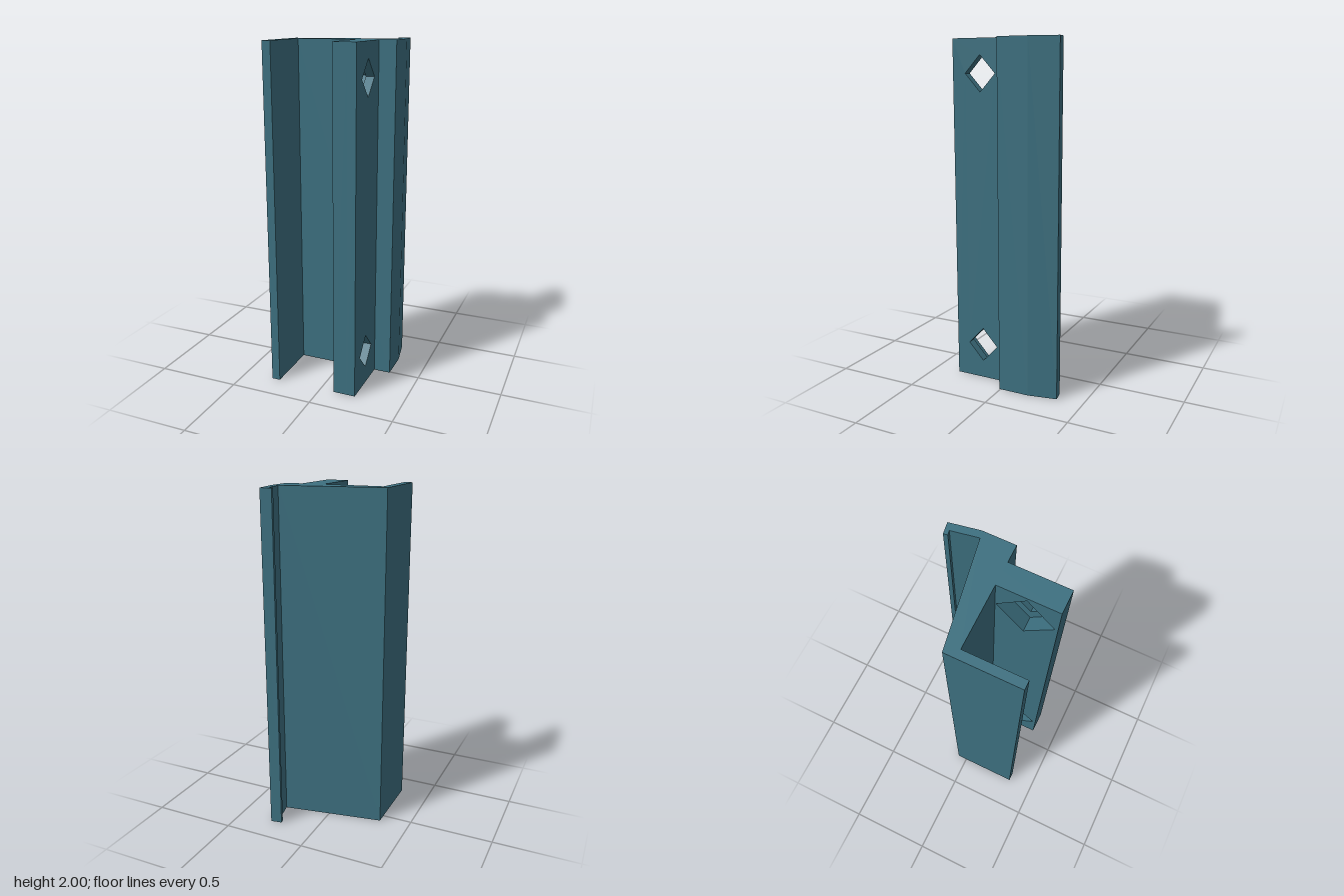
import * as THREE from 'three';

const teal = new THREE.MeshStandardMaterial({ color: 0x3d7080 });
teal.name = 'teal';

const HEIGHT = 2;

// Constant cross-section given as [x, z], swept up the full height
const PROFILE = [
  [-0.32, -0.06], [0.277, -0.165], [0.25, -0.315], [0.225, -0.31],
  [0.221, -0.334], [0.287, -0.344], [0.318, -0.175], [0.318, 0.008],
  [-0.27, 0.008], [-0.27, 0.344], [-0.32, 0.344],
];

function addMesh(group, name, geometry) {
  const mesh = new THREE.Mesh(geometry, teal);
  mesh.name = name;
  group.add(mesh);
}

// Slab of the thick leg between two x values, with two diamond openings
function legSlab(x0, x1, halfWidth, halfHeight) {
  const z0 = 0.008, z1 = 0.344, zc = 0.17;
  const shape = new THREE.Shape([
    [-z1, 0], [-z0, 0], [-z0, HEIGHT], [-z1, HEIGHT],
  ].map(([x, y]) => new THREE.Vector2(x, y)));
  for (const y of [0.208, 1.808]) {
    shape.holes.push(new THREE.Path([
      new THREE.Vector2(-zc - halfWidth, y),
      new THREE.Vector2(-zc, y + halfHeight),
      new THREE.Vector2(-zc + halfWidth, y),
      new THREE.Vector2(-zc, y - halfHeight),
    ]));
  }
  return new THREE.ExtrudeGeometry(shape, { depth: x1 - x0, bevelEnabled: false })
    .rotateY(Math.PI / 2)
    .translate(x0, 0, 0);
}

export function createModel() {
  const model = new THREE.Group();
  model.name = 'clipBracket';

  // Wedge web with its thin leg and rear hook
  const outline = new THREE.Shape(PROFILE.map(([x, z]) => new THREE.Vector2(x, -z)));
  const body = new THREE.ExtrudeGeometry(outline, { depth: HEIGHT, bevelEnabled: false })
    .rotateX(-Math.PI / 2);
  addMesh(model, 'webThinLegAndHook', body);

  // Thick leg: small screw holes outside, wider head pockets inside
  addMesh(model, 'thickLegOuter', legSlab(0.168, 0.218, 0.095, 0.102));
  addMesh(model, 'thickLegInner', legSlab(0.085, 0.168, 0.157, 0.17));

  return model;
}
